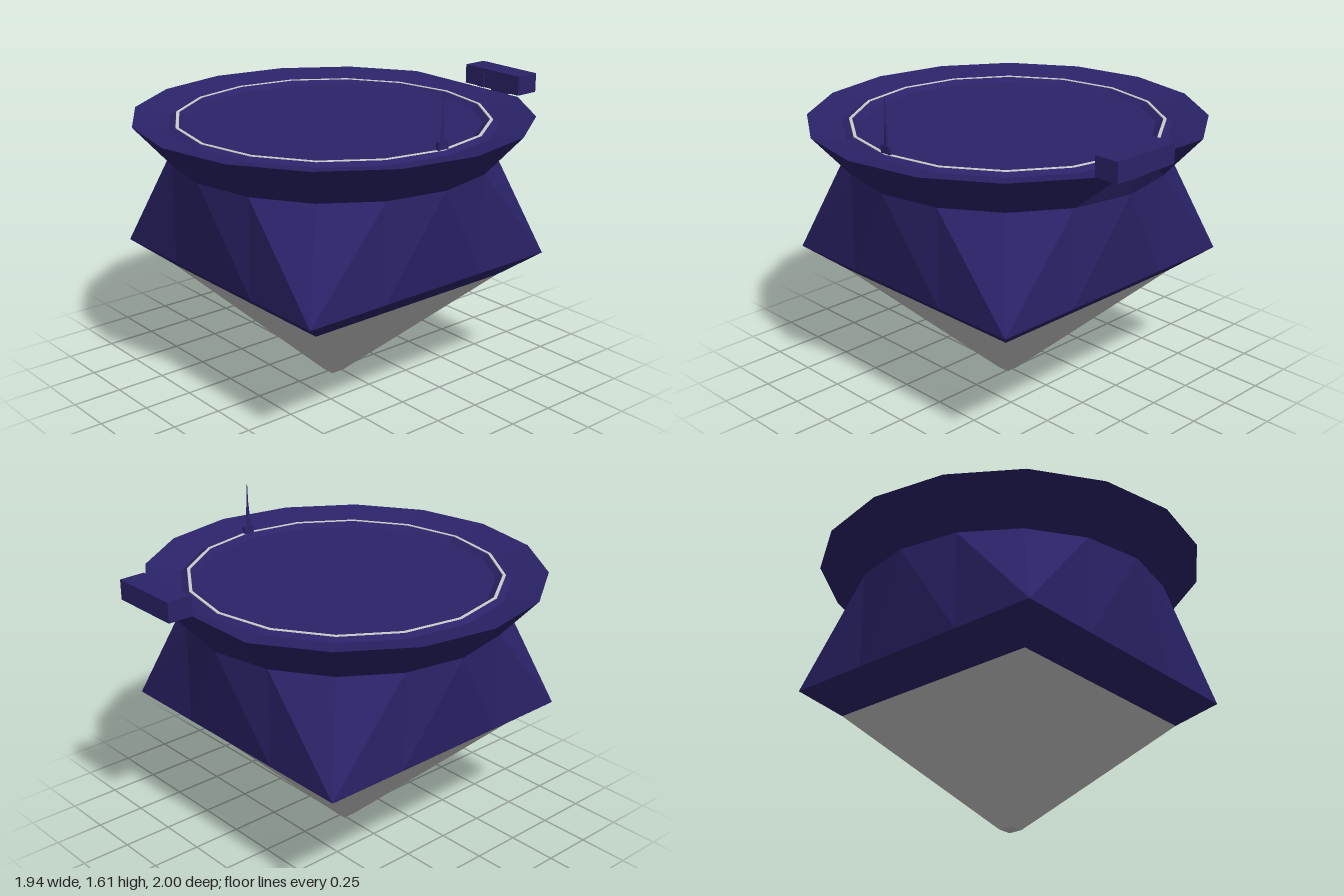
import * as THREE from 'three';

const SIDES = 16;
const CENTRE_Z = 0.027;
const navy = new THREE.MeshStandardMaterial({ color: 0x2b2369, flatShading: true });
const grey = new THREE.MeshStandardMaterial({ color: 0xcccccc, flatShading: true });

// Sixteen-sided ring of radius r at height y
function roundRing(r, y) {
  return Array.from({ length: SIDES }, (_, i) => {
    const a = (i / SIDES) * Math.PI * 2;
    return new THREE.Vector3(r * Math.sin(a), y, r * Math.cos(a));
  });
}

// Square ring with matching points, so it joins a round ring
function squareRing(half, y) {
  const k = half / 0.73;
  return roundRing(0.79, y).map((p, i) => {
    const fit = (v, major) => (major ? Math.sign(v) * half : v * k);
    const corner = i % 4 === 2;
    const zMajor = Math.abs(p.z) > Math.abs(p.x);
    return new THREE.Vector3(fit(p.x, corner || !zMajor), y, fit(p.z, corner || zMajor));
  });
}

// Skin a list of rings; each strip faces outwards when rings run upwards
function loft(name, rings, material) {
  const pos = [];
  const tri = (a, b, c) => {
    const n = b.clone().sub(a).cross(c.clone().sub(a));
    if (n.length() > 1e-9) pos.push(...a, ...b, ...c);
  };
  for (let k = 0; k < rings.length - 1; k++) {
    const lo = rings[k], hi = rings[k + 1];
    for (let i = 0; i < SIDES; i++) {
      const j = (i + 1) % SIDES;
      // diagonals mirror about each side and run into the corners
      if (i % 4 < 2) {
        tri(lo[i], lo[j], hi[i]);
        tri(hi[i], lo[j], hi[j]);
      } else {
        tri(lo[i], lo[j], hi[j]);
        tri(lo[i], hi[j], hi[i]);
      }
    }
  }
  const geo = new THREE.BufferGeometry();
  geo.setAttribute('position', new THREE.Float32BufferAttribute(pos, 3));
  geo.computeVertexNormals();
  const mesh = new THREE.Mesh(geo, material);
  mesh.name = name;
  mesh.position.z = CENTRE_Z;
  return mesh;
}

// Box given by its extents on each axis
function box(name, [x0, x1], [y0, y1], [z0, z1], material = navy) {
  const mesh = new THREE.Mesh(new THREE.BoxGeometry(x1 - x0, y1 - y0, z1 - z0), material);
  mesh.position.set((x0 + x1) / 2, (y0 + y1) / 2, (z0 + z1) / 2);
  mesh.name = name;
  return mesh;
}

export function createModel() {
  const model = new THREE.Group();
  model.name = 'landingPlatform';

  // Inverted pyramid foot
  model.add(loft('pyramidFoot', [
    squareRing(0, 0), squareRing(0.037, 0), squareRing(0.577, 0.555),
  ], grey));

  // Square hull turning into a round flared collar
  const rim = roundRing(0.97, 1.37);
  rim[SIDES / 2].z = rim[SIDES / 2 - 1].z; // rim is cut straight at the back
  const collar = roundRing(0.79, 1.17);
  model.add(loft('hull', [
    squareRing(0.577, 0.555), squareRing(0.73, 0.68), collar,
  ], navy));
  model.add(loft('flaredCollar', [collar, rim], navy));

  // Dished deck with a raised kerb
  model.add(loft('deck', [
    rim, roundRing(0.80, 1.335), roundRing(0.77, 1.35), roundRing(0.75, 1.35),
    roundRing(0.72, 1.33), roundRing(0, 1.33),
  ], navy));

  // Pale line along the top of the kerb
  model.add(loft('kerbLine', [
    roundRing(0.769, 1.348), roundRing(0.767, 1.353),
    roundRing(0.753, 1.353), roundRing(0.751, 1.348),
  ], grey));

  // Cabin overhanging the back edge
  const cabin = new THREE.Group();
  cabin.name = 'cabin';
  cabin.add(
    box('cabinBody', [0, 0.37], [1.375, 1.472], [-1, -0.873]),
    box('cabinDoor', [0.093, 0.135], [1.375, 1.45], [-0.875, -0.866]),
    box('cabinUndersideRail', [0.13, 0.24], [1.347, 1.376], [-0.955, -0.93]),
  );
  model.add(cabin);

  // Antenna on the left side of the kerb
  const antenna = new THREE.Group();
  antenna.name = 'antenna';
  antenna.add(box('antennaBase', [0.747, 0.763], [1.34, 1.39], [-0.003, 0.057]));
  const spans = [[1.38, 1.49, 0.014, 0.009], [1.49, 1.61, 0.006, 0.002]];
  for (const [y0, y1, r0, r1] of spans) {
    const mast = new THREE.Mesh(new THREE.CylinderGeometry(r1, r0, y1 - y0, 6), navy);
    mast.name = 'antennaMast';
    mast.scale.x = 0.5;
    mast.position.set(0.755, (y0 + y1) / 2, CENTRE_Z);
    antenna.add(mast);
  }
  model.add(antenna);

  return model;
}
